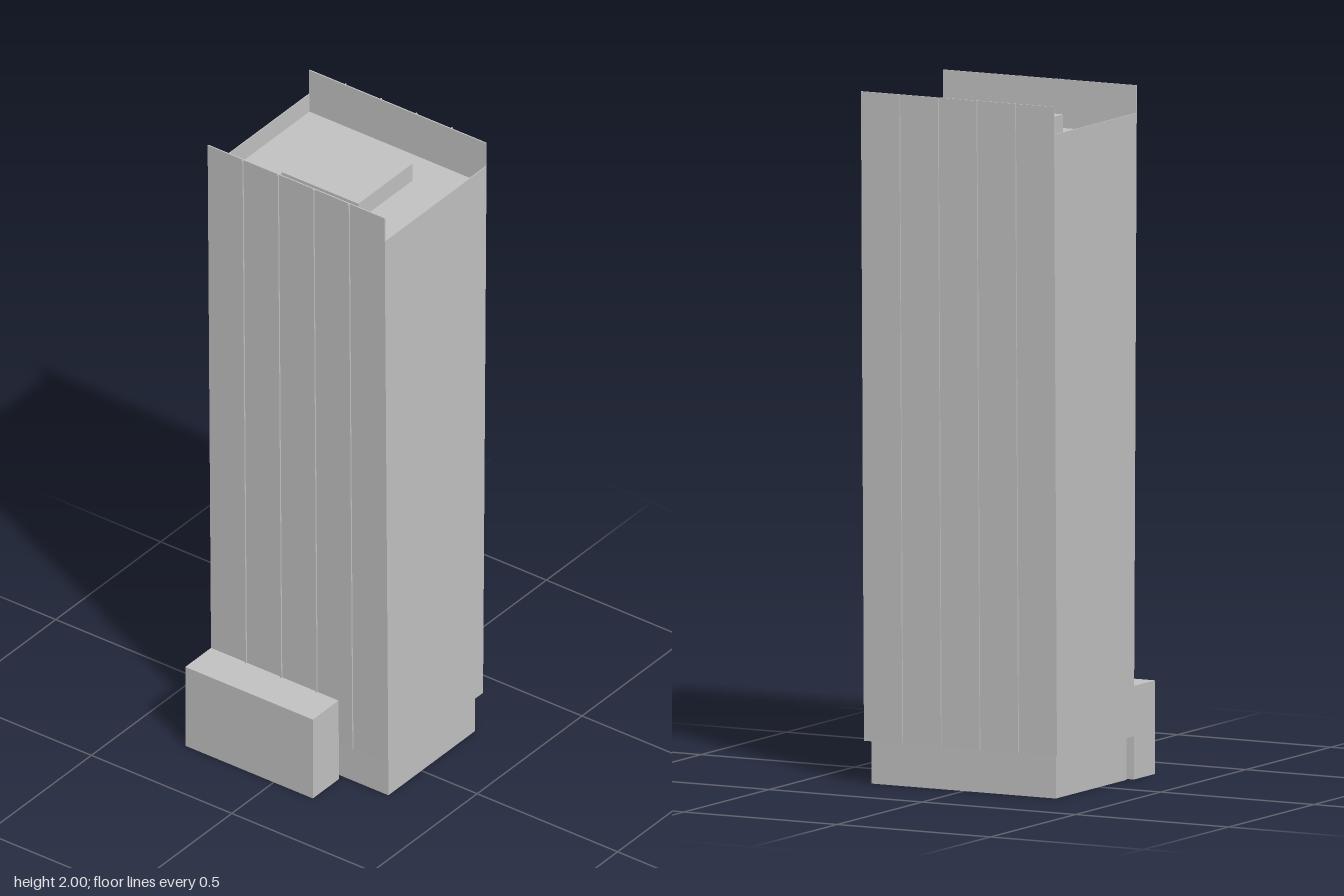
import * as THREE from 'three';

export function createModel() {
  const model = new THREE.Group();
  model.name = 'tower';
  const grey = new THREE.MeshStandardMaterial({ color: 0xc2c2c2, side: THREE.DoubleSide });
  grey.name = 'concrete grey';

  const CX = 0.05, DEPTH = 0.63, Y0 = 0.125, ROOF = 1.86, RIM = 1.92, TOP = 2;
  // Half width of the outward-leaning tower at height y
  const half = (y) => 0.226 + (0.2435 - 0.226) * (y - Y0) / (TOP - Y0);

  function add(name, geometry, parent = model) {
    const mesh = new THREE.Mesh(geometry, grey);
    mesh.name = name;
    parent.add(mesh);
    return mesh;
  }

  // Four-sided outline in x/y, extruded along z around zc
  function prism(points, depth, zc) {
    const shape = new THREE.Shape(points.map(([x, y]) => new THREE.Vector2(x, y)));
    const g = new THREE.ExtrudeGeometry(shape, { depth, bevelEnabled: false });
    return g.translate(0, 0, zc - depth / 2);
  }
  const trapezoid = (a, b) => [
    [CX - half(a), a], [CX + half(a), a], [CX + half(b), b], [CX - half(b), b],
  ];
  // Leaning strip on one side, from offset i (inner) to o (outer) of the wall face
  const strip = (s, i, o) => [
    [CX + s * (half(Y0) + i), Y0], [CX + s * (half(Y0) + o), Y0],
    [CX + s * (half(TOP) + o), TOP], [CX + s * (half(TOP) + i), TOP],
  ];

  // Hollow box without a bottom
  function openBox(x0, x1, y1, z0, z1) {
    const g = new THREE.BoxGeometry(x1 - x0, y1, z1 - z0);
    const index = Array.from(g.index.array);
    index.splice(18, 6);
    g.setIndex(index);
    g.clearGroups();
    return g.translate((x0 + x1) / 2, y1 / 2, (z0 + z1) / 2);
  }

  // Main shaft up to the recessed roof
  add('shaft', prism(trapezoid(Y0, ROOF), DEPTH, 0));

  // Low front and back parapets
  for (const [name, s] of [['frontParapet', 1], ['backParapet', -1]]) {
    add(name, prism(trapezoid(ROOF, RIM), 0.003, s * (DEPTH / 2 - 0.0015)));
  }

  // Tall side walls with four thin fins each
  for (const [name, s] of [['left', 1], ['right', -1]]) {
    const side = new THREE.Group();
    side.name = name + 'Side';
    model.add(side);
    add(name + 'Wall', prism(strip(s, -0.004, 0), DEPTH, 0), side);
    for (let i = 1; i <= 4; i++) {
      add(name + 'Fin' + i, prism(strip(s, 0, 0.005), 0.004, DEPTH * (i / 5 - 0.5)), side);
    }
  }

  // Plant room on the roof
  const plant = new THREE.BoxGeometry(0.258, 0.058, 0.274);
  add('roofPlantRoom', plant.translate(CX, ROOF + 0.029, -0.001));

  // Recessed base and low side annex
  add('base', openBox(-0.158, 0.256, Y0, -0.3, 0.302));
  add('annex', openBox(-0.3, -0.175, 0.27, -0.315, 0.139));

  return model;
}
